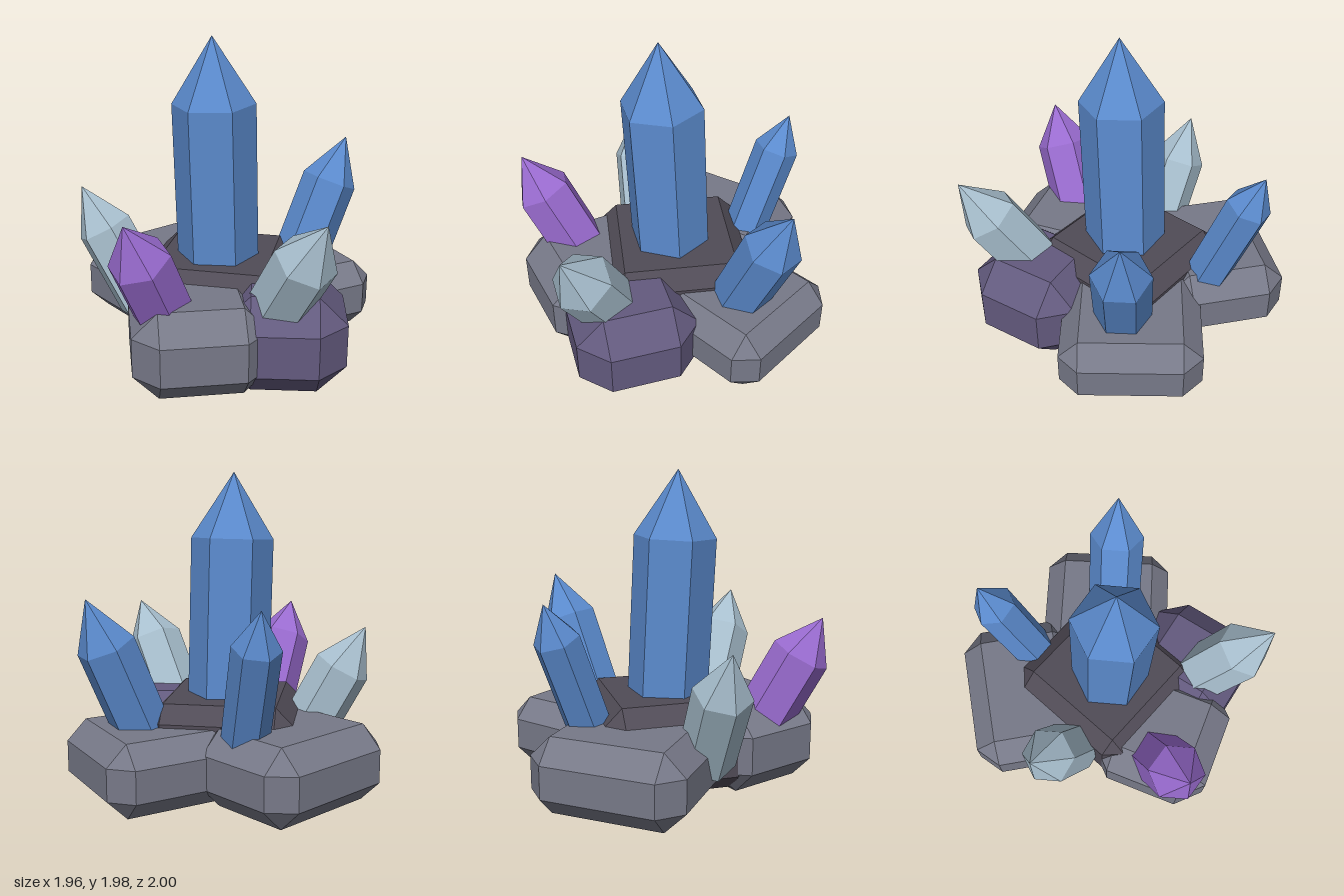
import * as THREE from 'three';
import { ConvexGeometry } from 'three/addons/geometries/ConvexGeometry.js';

const material = (name, color) => {
  const m = new THREE.MeshStandardMaterial({ color });
  m.name = name;
  return m;
};

// Box with every edge and corner cut off by c
function chamferedBox(w, h, d, c) {
  const points = [];
  const [x, y, z] = [w / 2, h / 2, d / 2];
  for (const sx of [-1, 1]) for (const sy of [-1, 1]) for (const sz of [-1, 1]) {
    points.push(
      new THREE.Vector3(sx * x, sy * (y - c), sz * (z - c)),
      new THREE.Vector3(sx * (x - c), sy * y, sz * (z - c)),
      new THREE.Vector3(sx * (x - c), sy * (y - c), sz * z));
  }
  return new ConvexGeometry(points);
}

// Six-sided prism with a pointed tip, faceted
function crystalGeometry(radius, length, tip) {
  const profile = [[0, 0], [radius, 0], [radius, length - tip], [0, length]];
  const lathe = new THREE.LatheGeometry(profile.map(p => new THREE.Vector2(...p)), 6);
  const geometry = lathe.toNonIndexed();
  geometry.computeVertexNormals();
  return geometry;
}

export function createModel() {
  const model = new THREE.Group();
  model.name = 'crystalCluster';

  const grey = material('greyRock', 0x777988);
  const dark = material('darkRock', 0x504b56);
  const violet = material('violetRock', 0x635a7e);
  const blue = material('blueCrystal', 0x5b8bce);
  const pale = material('paleCrystal', 0xa8bfce);
  const purple = material('purpleCrystal', 0x996bcf);

  // Rocks: name, material, centre, size, chamfer, turn in degrees
  const rocks = [
    ['centreRock', dark, [0.01, 0.35, 0], [0.87, 0.56, 0.89], 0.1, 23],
    ['backRightRock', grey, [0.244, 0.295, -0.5], [0.85, 0.43, 0.8], 0.12, -28],
    ['leftRock', grey, [-0.525, 0.3, -0.16], [0.75, 0.46, 0.95], 0.13, -15],
    ['frontRock', grey, [0.19, 0.3, 0.48], [0.78, 0.53, 0.78], 0.148, 43],
    ['rightRock', violet, [0.565, 0.3, 0.12], [0.72, 0.59, 0.75], 0.167, 32],
  ];
  for (const [name, mat, centre, size, chamfer, turn] of rocks) {
    const rock = new THREE.Mesh(chamferedBox(...size, chamfer), mat);
    rock.name = name;
    rock.position.set(...centre);
    rock.rotation.y = THREE.MathUtils.degToRad(turn);
    model.add(rock);
  }

  // Crystals: name, material, base centre, apex, radius, tip length
  const crystals = [
    ['tallCrystal', blue, [0.02, 0.4, 0.015], [0.02, 1.98, 0.088], 0.252, 0.4],
    ['backLeftCrystal', blue, [-0.33, 0.4, -0.375], [-0.57, 1.26, -0.6], 0.14, 0.23],
    ['backRightCrystal', blue, [0.285, 0.4, -0.47], [0.46, 1.27, -0.79], 0.175, 0.3],
    ['rightCrystal', pale, [0.55, 0.42, 0.23], [0.965, 1.1, 0.37], 0.185, 0.3],
    ['leftCrystal', pale, [-0.35, 0.31, 0.3], [-0.705, 1.04, 0.46], 0.175, 0.29],
    ['frontCrystal', purple, [0.075, 0.4, 0.6], [0.08, 1.09, 0.97], 0.182, 0.265],
  ];
  const up = new THREE.Vector3(0, 1, 0);
  for (const [name, mat, base, apex, radius, tip] of crystals) {
    const axis = new THREE.Vector3(...apex).sub(new THREE.Vector3(...base));
    const crystal = new THREE.Mesh(crystalGeometry(radius, axis.length(), tip), mat);
    crystal.name = name;
    crystal.position.set(...base);
    crystal.quaternion.setFromUnitVectors(up, axis.normalize());
    model.add(crystal);
  }
  return model;
}
